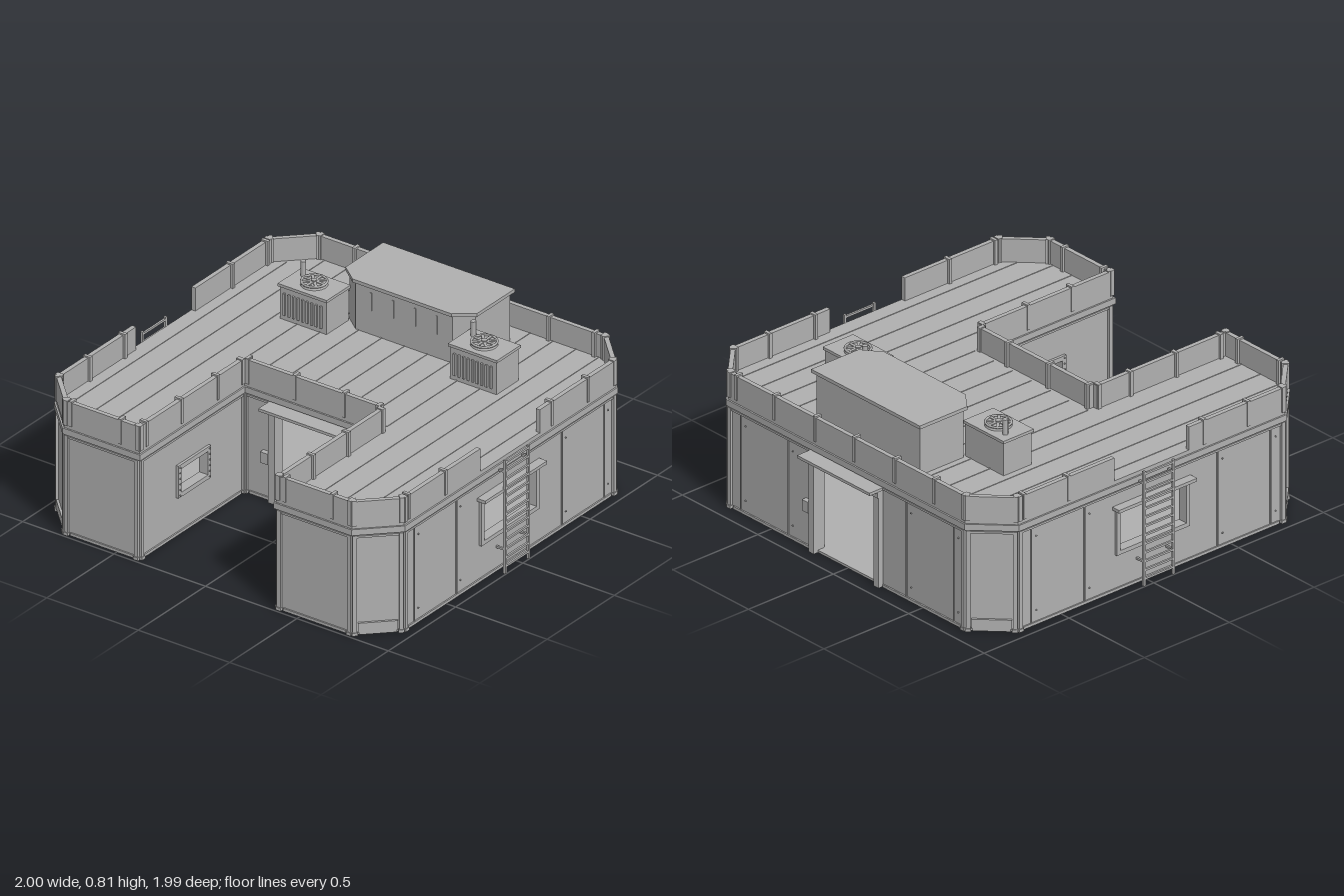
import * as THREE from 'three';

const concrete = new THREE.MeshStandardMaterial({ color: 0xb0b0b0 });
concrete.name = 'concrete grey';

// Footprint corners (x, z): two legs around a front courtyard, chamfered outside
const FOOTPRINT = [
  [-0.79, 0.99], [-0.365, 0.99], [-0.365, 0.21], [0.365, 0.21], [0.365, 0.99], [0.79, 0.99],
  [0.96, 0.82], [0.96, -0.76], [0.79, -0.93], [-0.79, -0.93], [-0.96, -0.76], [-0.96, 0.82],
];
const NOTCH_LEFT = 1, NOTCH_BACK = 2, NOTCH_RIGHT = 3, SIDE_RIGHT = 6, BACK = 8, SIDE_LEFT = 10;
const CHAMFERS = [5, 7, 9, 11];

function normal(a, b) {
  const l = Math.hypot(b[0] - a[0], b[1] - a[1]);
  return [-(b[1] - a[1]) / l, (b[0] - a[0]) / l];
}

// Offsets an outline inwards with mitred corners
function inset(points, d) {
  const n = points.length;
  return points.map((p, i) => {
    const m = normal(points[(i + n - 1) % n], p), k = normal(p, points[(i + 1) % n]);
    const s = d / (1 + m[0] * k[0] + m[1] * k[1]);
    return [p[0] - s * (m[0] + k[0]), p[1] - s * (m[1] + k[1])];
  });
}

function add(parent, name, geometry, x = 0, y = 0, z = 0) {
  const mesh = new THREE.Mesh(geometry, concrete);
  mesh.name = name;
  mesh.position.set(x, y, z);
  parent.add(mesh);
  return mesh;
}

const box = (parent, name, w, h, d, x, y, z) => add(parent, name, new THREE.BoxGeometry(w, h, d), x, y, z);

// Horizontal slab from an outline, between two heights
function slab(parent, name, points, y0, y1) {
  const shape = new THREE.Shape(points.map(([x, z]) => new THREE.Vector2(x, -z)));
  const g = new THREE.ExtrudeGeometry(shape, { depth: y1 - y0, bevelEnabled: false }).rotateX(-Math.PI / 2);
  return add(parent, name, g, 0, y0, 0);
}

// Local frame of one outline edge: x runs along it, z points outwards
function edgeFrame(parent, name, points, i) {
  const a = points[i], b = points[(i + 1) % points.length];
  const dx = b[0] - a[0], dz = b[1] - a[1], len = Math.hypot(dx, dz);
  const group = new THREE.Group();
  group.name = name;
  group.position.set(a[0], 0, a[1]);
  group.rotation.y = Math.atan2(-dz, dx);
  parent.add(group);
  const u = (c) => (Math.abs(dx) > Math.abs(dz) ? (c - a[0]) * Math.sign(dx) : (c - a[1]) * Math.sign(dz));
  return { group, len, u };
}

function rectPath(path, x0, y0, x1, y1) {
  path.moveTo(x0, y0); path.lineTo(x1, y0); path.lineTo(x1, y1); path.lineTo(x0, y1); path.closePath();
  return path;
}

function wallPanel(frame, hole) {
  const shape = rectPath(new THREE.Shape(), 0, 0, frame.len, 0.51);
  if (hole) shape.holes.push(rectPath(new THREE.Path(), ...hole));
  const g = new THREE.ExtrudeGeometry(shape, { depth: 0.04, bevelEnabled: false }).translate(0, 0, -0.04);
  add(frame.group, 'wall', g);
}

function doorway(frame) {
  const c = frame.u(0), g = frame.group;
  for (const s of [-1, 1]) box(g, 'doorJamb', 0.035, 0.46, 0.06, c + s * 0.215, 0.23, -0.005);
  box(g, 'doorLintel', 0.47, 0.035, 0.065, c, 0.467, 0);
  box(g, 'doorCanopy', 0.48, 0.014, 0.085, c, 0.49, 0.0425);
  box(g, 'canopySupport', 0.44, 0.015, 0.045, c, 0.476, 0.022);
  // control box on one side of the door
  box(g, 'controlBox', 0.042, 0.055, 0.025, c - 0.255, 0.215, 0.0125);
}

function windowFrame(frame, [x0, y0, x1, y1], w) {
  const g = frame.group, cx = (x0 + x1) / 2, cy = (y0 + y1) / 2;
  for (const x of [x0, x1]) box(g, 'windowJamb', w, y1 - y0 + w, 0.05, x, cy, -0.012);
  for (const y of [y0, y1]) box(g, 'windowRail', x1 - x0 + w, w, 0.05, cx, y, -0.012);
}

function ladder(frame, z0, z1) {
  const a = frame.u(z0), b = frame.u(z1), g = new THREE.Group();
  g.name = 'ladder';
  frame.group.add(g);
  for (const x of [a, b]) {
    box(g, 'ladderRail', 0.012, 0.57, 0.012, x, 0.285, 0.047);
    for (const y of [0.12, 0.51]) box(g, 'ladderBracket', 0.01, 0.01, 0.045, x, y, 0.022);
  }
  for (let y = 0.035; y < 0.56; y += 0.0435) box(g, 'ladderRung', Math.abs(b - a), 0.01, 0.01, (a + b) / 2, y, 0.047);
}

function buildWalls(root) {
  const outline = inset(FOOTPRINT, 0.015);
  slab(root, 'floor', outline, 0, 0.012);
  const bolt = new THREE.CylinderGeometry(0.004, 0.004, 0.006, 6).rotateX(Math.PI / 2);
  for (let i = 0; i < outline.length; i++) {
    const f = edgeFrame(root, 'wallSection', outline, i), g = f.group;
    let hole = null;
    if (i === NOTCH_BACK || i === BACK) {
      hole = [f.u(0) - 0.2, 0.012, f.u(0) + 0.2, 0.45];
      doorway(f);
    } else if (i === SIDE_LEFT || i === SIDE_RIGHT) {
      const c = f.u(0.035);
      hole = [c - 0.205, 0.19, c + 0.205, 0.4];
      windowFrame(f, hole, 0.02);
      box(g, 'windowHood', 0.46, 0.016, 0.045, c, 0.416, 0.022);
      ladder(f, -0.05, 0.122);
    } else if (i === NOTCH_LEFT || i === NOTCH_RIGHT) {
      const c = f.u(0.58);
      hole = [c - 0.11, 0.2, c + 0.11, 0.34];
      windowFrame(f, hole, 0.022);
      for (let y = 0.2; y < 0.35; y += 0.028)
        for (const s of [-1, 1]) add(g, 'frameBolt', bolt, c + s * 0.11, y, 0.015);
    }
    wallPanel(f, hole);

    // corner posts, skirting and the strip below the ledge
    for (const x of [0.01, f.len - 0.01]) {
      box(g, 'cornerPost', 0.02, 0.5, 0.014, x, 0.25, 0.005);
      box(g, 'postFoot', 0.026, 0.015, 0.02, x, 0.0075, 0.006);
    }
    box(g, 'ledgeStrip', f.len, 0.01, 0.01, f.len / 2, 0.492, 0.004);
    const door = i === NOTCH_BACK || i === BACK;
    const runs = door ? [[0.03, hole[0] - 0.04], [hole[2] + 0.04, f.len - 0.03]] : [[0.03, f.len - 0.03]];
    for (const [a, b] of runs) box(g, 'skirting', b - a, 0.014, 0.008, (a + b) / 2, 0.008, 0.003);
    if (CHAMFERS.includes(i)) box(g, 'kickPlate', f.len - 0.05, 0.045, 0.012, f.len / 2, 0.038, 0.005);

    // panel seams and bolts on the long walls
    if ([SIDE_LEFT, SIDE_RIGHT, BACK].includes(i)) {
      for (const t of [0.05, 0.25, 0.75, 0.95]) {
        box(g, 'panelSeam', 0.006, 0.47, 0.006, f.len * t, 0.25, 0.002);
        for (const y of [0.07, 0.44]) add(g, 'wallBolt', bolt, f.len * t + 0.03, y, 0.002);
      }
    }
  }
}

function buildRoof(root) {
  slab(root, 'roofLedge', FOOTPRINT, 0.505, 0.535);
  slab(root, 'roofDeck', inset(FOOTPRINT, 0.008), 0.535, 0.555);
  // thin ribs between the deck boards
  for (let i = -7; i <= 7; i++) {
    const x = i * 0.125, ax = Math.abs(x);
    const back = -0.9 + Math.max(0, ax - 0.76), front = ax < 0.41 ? 0.165 : 0.96 - Math.max(0, ax - 0.77);
    box(root, 'deckRib', 0.007, 0.004, front - back, x, 0.556, (front + back) / 2);
  }
}

function buildParapet(root) {
  const outline = inset(FOOTPRINT, 0.005);
  // clip positions along each edge, in x or z
  const clips = {
    0: [-0.75, -0.48], 1: [0.4, 0.67, 0.93], 2: [-0.36, -0.1, 0.17], 3: [0.48, 0.74], 4: [0.42, 0.68],
    6: [0.78, 0.51, -0.28, -0.55], 8: [-0.58, -0.32, -0.05, 0.21, 0.48, 0.73], 10: [0.34, 0.6, -0.46, -0.72],
  };
  for (let i = 0; i < outline.length; i++) {
    const f = edgeFrame(root, 'parapetSection', outline, i), g = f.group;
    let runs = [[0, f.len]];
    if (i === SIDE_LEFT || i === SIDE_RIGHT) {
      const [a, b] = [f.u(-0.19), f.u(0.25)].sort((p, q) => p - q);
      runs = [[0, a], [b, f.len]];
    }
    for (const [a, b] of runs) box(g, 'parapet', b - a, 0.12, 0.022, (a + b) / 2, 0.61, -0.013);
    for (const x of [0.012, f.len - 0.012]) box(g, 'parapetPost', 0.02, 0.125, 0.034, x, 0.6125, -0.014);
    for (const c of clips[i] || []) box(g, 'parapetClip', 0.016, 0.125, 0.038, f.u(c), 0.615, -0.017);
  }
}

function buildRoofHut(root) {
  const cap = [[-0.36, -0.81], [-0.36, -0.53], [-0.27, -0.46], [0.27, -0.46], [0.36, -0.53], [0.36, -0.81]];
  const g = new THREE.Group();
  g.name = 'roofHut';
  root.add(g);
  slab(g, 'hutWalls', inset(cap, 0.016), 0.55, 0.795);
  slab(g, 'hutCap', cap, 0.795, 0.812);
  for (const x of [-0.18, -0.06, 0.06, 0.18]) box(g, 'hutSlot', 0.008, 0.09, 0.006, x, 0.72, -0.475);
}

function buildCooler(root, x, stackX) {
  const g = new THREE.Group();
  g.name = 'coolingUnit';
  g.position.set(x, 0, -0.44);
  root.add(g);
  box(g, 'coolerBody', 0.255, 0.165, 0.165, 0, 0.6375, 0);
  box(g, 'coolerLid', 0.268, 0.014, 0.178, 0, 0.724, 0);
  for (let i = 0; i < 9; i++) box(g, 'coolerFin', 0.01, 0.11, 0.012, -0.1 + i * 0.025, 0.635, 0.086);
  // fan with ring and blades
  add(g, 'fanBase', new THREE.CylinderGeometry(0.058, 0.062, 0.012, 20), 0, 0.737, 0);
  add(g, 'fanRing', new THREE.TorusGeometry(0.058, 0.006, 6, 24).rotateX(Math.PI / 2), 0, 0.747, 0);
  add(g, 'fanHub', new THREE.CylinderGeometry(0.014, 0.014, 0.02, 10), 0, 0.745, 0);
  for (let i = 0; i < 4; i++) box(g, 'fanBlade', 0.11, 0.004, 0.014, 0, 0.748, 0).rotation.y = (i * Math.PI) / 4;
  add(g, 'exhaustPipe', new THREE.CylinderGeometry(0.013, 0.013, 0.08, 10), stackX, 0.765, -0.035);
}

export function createModel() {
  const root = new THREE.Group();
  root.name = 'outpostBuilding';
  buildWalls(root);
  buildRoof(root);
  buildParapet(root);
  buildRoofHut(root);
  buildCooler(root, -0.465, -0.085);
  buildCooler(root, 0.465, -0.085);
  return root;
}
